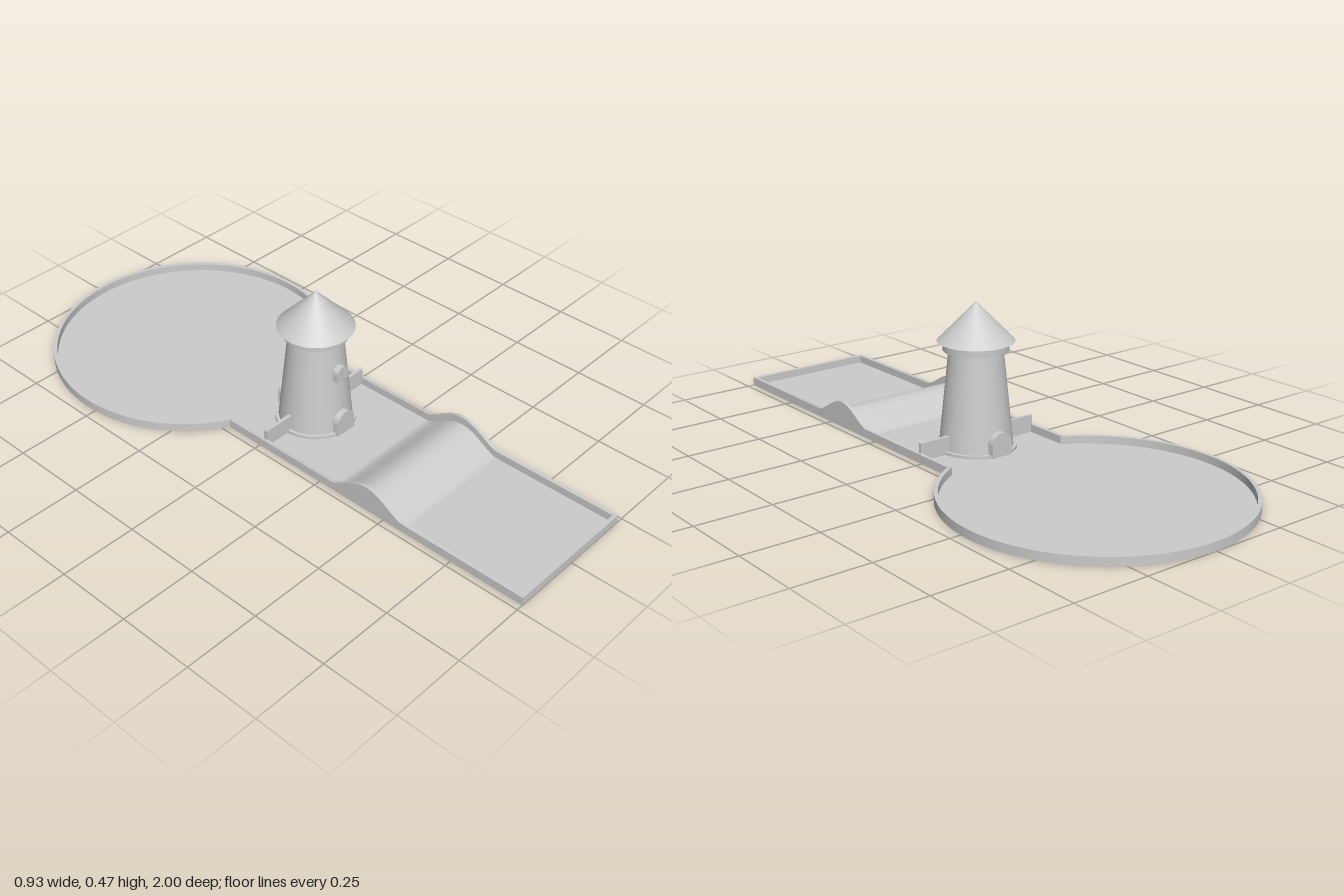
import * as THREE from 'three';
import { toCreasedNormals } from 'three/addons/utils/BufferGeometryUtils.js';

const HALF = 0.228, WALL = 0.012, RIM = 0.028, FLOOR = 0.003; // lane half width, wall, heights
const R = 0.465, GREEN_Z = -0.535;                            // round green
const TOWER_Z = 0.022;

// Height of the ramp above the flat lane at depth z
function hump(z) {
  const t = (z - 0.3) / 0.27;
  return t <= 0 || t >= 1 ? 0 : 0.057 * Math.sin(Math.PI * t) ** 1.5;
}

// Where a circle of radius r meets the lane side at x
const chordZ = (r, x) => GREEN_Z + Math.sqrt(r * r - x * x);

function archShape(w, bottom, top) {
  const s = new THREE.Shape();
  s.moveTo(-w, bottom);
  s.lineTo(w, bottom);
  s.absarc(0, top - w, w, 0, Math.PI, false);
  s.closePath();
  return s;
}

function extrude(shape, depth, curveSegments = 24) {
  return new THREE.ExtrudeGeometry(shape, { depth, bevelEnabled: false, curveSegments });
}

export function createModel() {
  const group = new THREE.Group();
  const solid = new THREE.MeshStandardMaterial({ color: 0xcccccc });
  const sheet = new THREE.MeshStandardMaterial({ color: 0xcccccc, side: THREE.DoubleSide });
  const add = (name, geo, x = 0, y = 0, z = 0, mat = solid) => {
    const mesh = new THREE.Mesh(geo, mat);
    mesh.name = name;
    mesh.position.set(x, y, z);
    group.add(mesh);
    return mesh;
  };

  // Lane floor, a thin sheet that rises over the ramp
  const z0 = chordZ(R - WALL, HALF - WALL), z1 = 1 - WALL / 2;
  const lane = new THREE.PlaneGeometry(2 * HALF - WALL, z1 - z0, 1, 160);
  lane.rotateX(-Math.PI / 2).translate(0, 0, (z0 + z1) / 2);
  const p = lane.attributes.position;
  for (let i = 0; i < p.count; i++) p.setY(i, FLOOR + hump(p.getZ(i)));
  lane.computeVertexNormals();
  add('laneFloor', lane, 0, 0, 0, sheet);

  // Side walls following the ramp
  const profile = new THREE.Shape();
  const start = chordZ(R, HALF);
  profile.moveTo(start, 0);
  profile.lineTo(1, 0);
  profile.lineTo(1, RIM);
  for (let i = 0; i <= 40; i++) {
    const z = 0.57 - 0.27 * i / 40;
    profile.lineTo(z, RIM + hump(z));
  }
  profile.lineTo(start, RIM);
  profile.closePath();
  const wall = toCreasedNormals(extrude(profile, WALL).rotateY(-Math.PI / 2), 0.4);
  add('leftWall', wall, HALF);
  add('rightWall', wall, -HALF + WALL);
  add('endWall', new THREE.BoxGeometry(2 * (HALF - WALL), RIM, WALL), 0, RIM / 2, 1 - WALL / 2);

  // Round green: floor and rim, both open towards the lane
  const down = -Math.PI / 2;
  const outer = Math.asin(HALF / R), inner = Math.asin((HALF - WALL) / (R - WALL));
  const rim = new THREE.Shape();
  rim.absarc(0, 0, R, down + outer, down + 2 * Math.PI - outer, false);
  rim.absarc(0, 0, R - WALL, down + 2 * Math.PI - inner, down + inner, true);
  rim.closePath();
  const rimGeo = toCreasedNormals(extrude(rim, RIM, 96).rotateX(down), 0.4);
  add('greenRim', rimGeo, 0, 0, GREEN_Z);
  const disc = new THREE.Shape();
  disc.absarc(0, 0, R - WALL, down + inner, down + 2 * Math.PI - inner, false);
  disc.closePath();
  add('greenFloor', new THREE.ShapeGeometry(disc, 96).rotateX(down), 0, FLOOR, GREEN_Z, sheet);

  // Tower with foot ring, collar and cone roof
  const drum = (name, rTop, rBottom, y, top) =>
    add(name, new THREE.CylinderGeometry(rTop, rBottom, top - y, 64), 0, (y + top) / 2, TOWER_Z);
  drum('towerFoot', 0.128, 0.128, 0, 0.012);
  drum('towerBody', 0.085, 0.117, 0.005, 0.318);
  drum('collar', 0.103, 0.103, 0.317, 0.346);
  add('roof', new THREE.ConeGeometry(0.121, 0.124, 64), 0, 0.407, TOWER_Z);

  // Arched passage, standing out front and back
  const passage = toCreasedNormals(extrude(archShape(0.037, 0.003, 0.08), 0.258), 0.4);
  add('archedDoorway', passage, 0, 0, TOWER_Z - 0.129);

  // Arched window on the front
  const windowGeo = toCreasedNormals(extrude(archShape(0.024, 0.194, 0.243), 0.035), 0.4);
  add('window', windowGeo, 0, 0, 0.1);

  // Barriers joining the tower to the walls
  for (const [side, name] of [[1, 'leftBarrier'], [-1, 'rightBarrier']]) {
    add(name, new THREE.BoxGeometry(0.122, 0.057, WALL), side * 0.159, 0.0315, TOWER_Z - 0.004);
  }
  return group;
}
